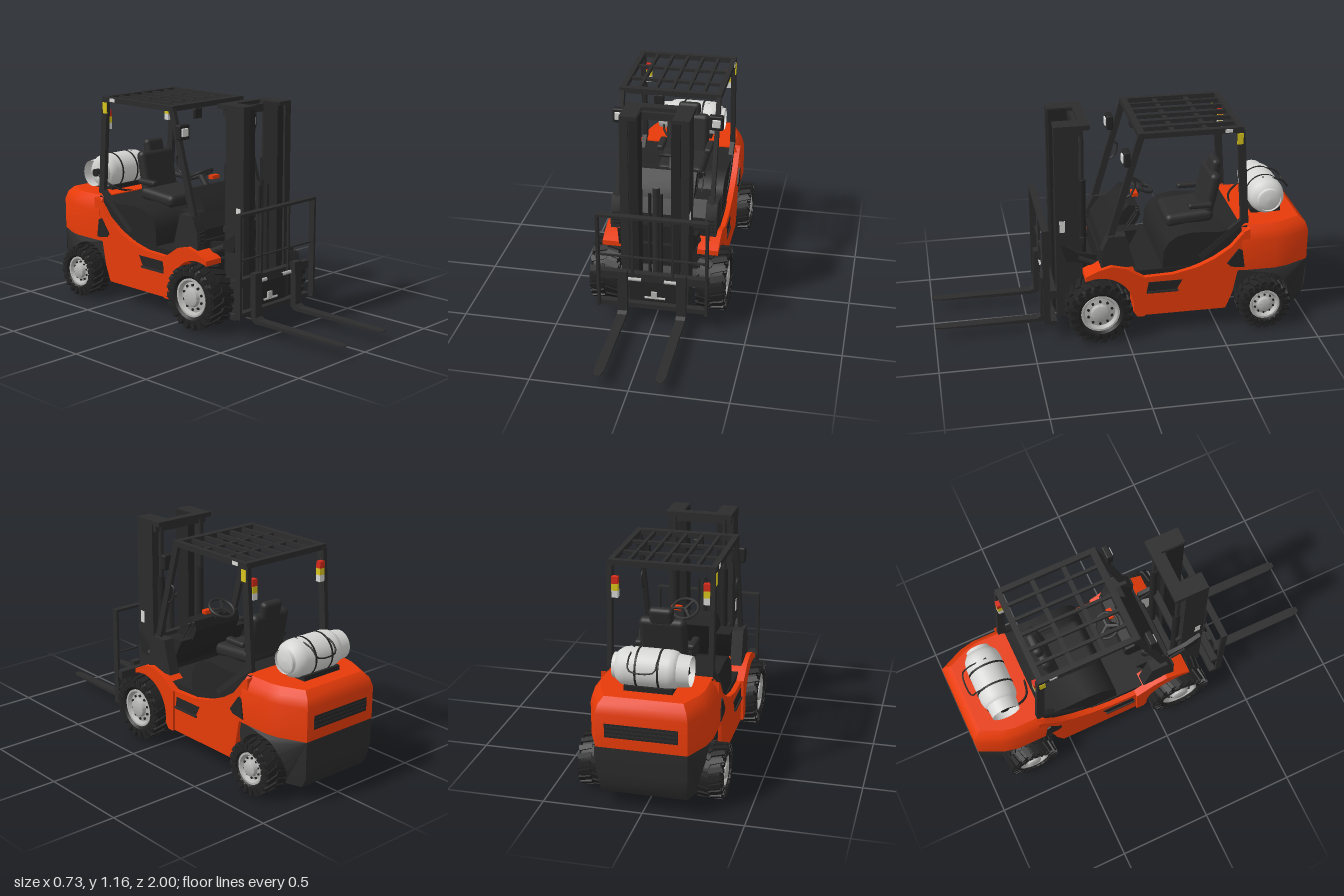
import * as THREE from 'three';
import { mergeGeometries, toCreasedNormals } from 'three/addons/utils/BufferGeometryUtils.js';
import { RoundedBoxGeometry } from 'three/addons/geometries/RoundedBoxGeometry.js';

const mat = (name, color, side = THREE.FrontSide) => {
  const m = new THREE.MeshStandardMaterial({ color, side });
  m.name = name;
  return m;
};

export function createModel() {
  const root = new THREE.Group();
  root.name = 'forklift';
  const orange = mat('orange paint', 0xe83b09), black = mat('black frame', 0x2c2c2c);
  const dark = mat('dark trim', 0x252525), rubber = mat('tyre rubber', 0x222222);
  const silver = mat('wheel silver', 0xb6b6b4), white = mat('tank white', 0xd6d6d4, THREE.DoubleSide);
  const yellow = mat('lamp yellow', 0xd8c41c), red = mat('lamp red', 0xd42a1a);
  const V = (x, y, z) => new THREE.Vector3(x, y, z);

  const add = (name, geo, m, parent = root) => {
    const mesh = new THREE.Mesh(geo, m);
    mesh.name = name;
    parent.add(mesh);
    return mesh;
  };
  // box from its minimum and maximum corners
  const box = (name, m, x0, x1, y0, y1, z0, z1) => {
    const b = add(name, new THREE.BoxGeometry(x1 - x0, y1 - y0, z1 - z0), m);
    b.position.set((x0 + x1) / 2, (y0 + y1) / 2, (z0 + z1) / 2);
  };
  const soft = (name, m, w, h, d, r, x, y, z, tilt = 0) => {
    const b = add(name, new RoundedBoxGeometry(w, h, d, 3, r), m);
    b.position.set(x, y, z);
    b.rotation.x = tilt;
  };
  // straight square beam between two points
  const beam = (name, m, a, b, w, h) => {
    const mesh = add(name, new THREE.BoxGeometry(w, h, a.distanceTo(b)), m);
    mesh.position.copy(a).lerp(b, 0.5);
    mesh.lookAt(b);
  };
  const rod = (name, m, a, b, r) => add(name, new THREE.TubeGeometry(new THREE.LineCurve3(a, b), 1, r, 12), m);
  const pipe = (name, m, pts, r) => add(name, new THREE.TubeGeometry(new THREE.CatmullRomCurve3(pts), 24, r, 8), m);
  const poly = pts => new THREE.Shape(pts.map(p => new THREE.Vector2(...p)));
  // side profile in (z, y), extruded from x0 to x1
  const slab = (name, m, shape, x0, x1) => {
    const g = new THREE.ExtrudeGeometry(shape, { depth: x1 - x0, bevelEnabled: false, curveSegments: 20 });
    g.rotateY(-Math.PI / 2).translate(x1, 0, 0);
    return add(name, toCreasedNormals(g, 0.5), m);
  };
  const sided = (s, a, b) => (s > 0 ? [a, b] : [-b, -a]);

  // wheels: tyre with lugs, dished rim, rim holes
  const wheel = (name, s, x, y, z, R, rim, w) => {
    const g = new THREE.Group();
    g.name = name;
    g.position.set(s * x, y, z);
    g.rotation.z = -s * Math.PI / 2;
    root.add(g);
    const lathe = pts => toCreasedNormals(new THREE.LatheGeometry(pts.map(p => new THREE.Vector2(...p)), 40), 0.6);
    const T = R - 0.01;
    add('tyre', lathe([[rim, -w * 0.8], [rim + 0.015, -w], [T - 0.025, -w], [T, -w * 0.8], [T, w * 0.8],
      [T - 0.025, w], [rim + 0.015, w], [rim, w * 0.8]]), rubber, g);
    const lugs = [];
    for (let i = 0; i < 40; i++) {
      const k = i % 2 ? 1 : -1;
      const lug = new THREE.BoxGeometry(0.02, w * 1.02, R * 0.17);
      lug.rotateX(k * 0.3).translate(R - 0.0115, k * w * 0.48, 0).rotateY(i * Math.PI / 20);
      const shoulder = new THREE.BoxGeometry(0.035, 0.012, R * 0.15);
      shoulder.translate(R - 0.032, k * (w - 0.003), 0).rotateY(i * Math.PI / 20);
      lugs.push(lug, shoulder);
    }
    add('treadLugs', mergeGeometries(lugs), rubber, g);
    const h = w * 0.88;
    add('rim', lathe([[0, -h], [rim, -h], [rim, h], [rim - 0.01, h], [rim - 0.022, h - 0.02], [rim * 0.5, h - 0.014],
      [rim * 0.45, h + 0.005], [rim * 0.35, h + 0.01], [0, h + 0.01]]), silver, g);
    for (let i = 0; i < 10; i++) {
      const a = i * Math.PI / 5;
      const hole = add('rimHole', new THREE.CylinderGeometry(rim * 0.07, rim * 0.07, 0.008, 8), dark, g);
      hole.position.set(Math.cos(a) * rim * 0.64, h - 0.014, Math.sin(a) * rim * 0.64);
    }
  };

  for (const s of [1, -1]) {
    wheel('frontWheel', s, 0.284, 0.172, 0.145, 0.172, 0.102, 0.077);
    wheel('rearWheel', s, 0.295, 0.14, -0.742, 0.14, 0.082, 0.066);

    // front fender with wheel arch
    const f = poly([[0.215, 0.37], [0.15, 0.4], [0.08, 0.42], [0, 0.4], [-0.05, 0.365], [-0.1, 0.335],
      [-0.1, 0.11], [-0.06, 0.11]]);
    f.absarc(0.145, 0.172, 0.185, 3.3, 1.18, true);
    slab('frontFender', orange, f, ...sided(s, 0.2, 0.31));

    // sweeping side panel
    slab('sidePanel', orange, poly([[-0.09, 0.11], [-0.54, 0.11], [-0.575, 0.2], [-0.6, 0.33], [-0.66, 0.33], [-0.66, 0.57],
      [-0.63, 0.555], [-0.56, 0.47], [-0.47, 0.41], [-0.38, 0.37], [-0.25, 0.34], [-0.09, 0.335]]), ...sided(s, 0.265, 0.297));
    slab('stepRecess', dark, poly([[-0.12, 0.305], [-0.11, 0.25], [-0.27, 0.25], [-0.3, 0.305]]), ...sided(s, 0.292, 0.3));
    slab('sideVent', dark, poly([[-0.54, 0.38], [-0.6, 0.46], [-0.62, 0.45], [-0.635, 0.35], [-0.56, 0.36]]), ...sided(s, 0.297, 0.305));
    box('stepTread', black, ...sided(s, 0.24, 0.307), 0.242, 0.252, -0.28, -0.11);

    // cowl block beside the dashboard
    slab('cowlBlock', black, poly([[0.13, 0.4], [0.125, 0.5], [0.09, 0.58], [0, 0.58], [-0.05, 0.4]]), ...sided(s, 0.225, 0.285));
    for (let i = 0; i < 4; i++) box('cowlLouvre', dark, ...sided(s, 0.235, 0.275), 0.43 + i * 0.02, 0.44 + i * 0.02, 0.12, 0.134);

    // overhead guard posts and rails
    const x = s * 0.255;
    beam('frontPost', black, V(x, 0.45, 0.11), V(x, 1.115, -0.08), 0.022, 0.035);
    beam('rearPost', black, V(x, 1.115, -0.595), V(x, 0.59, -0.635), 0.025, 0.04);
    beam('rearPostFoot', black, V(x, 0.61, -0.635), V(x, 0.41, -0.4), 0.025, 0.03);
    beam('roofRail', black, V(x, 1.118, -0.065), V(x, 1.118, -0.61), 0.028, 0.028);
    pipe('grabHandle', black, [V(x, 0.78, 0.01), V(x, 0.8, -0.03), V(x, 0.87, -0.05), V(x, 0.89, -0.015)], 0.006);

    // work lamps, stacked tail lamps and pale marker plates
    soft('lampHousing', dark, 0.075, 0.08, 0.035, 0.008, s * 0.255, 1.005, -0.005);
    soft('lampLens', white, 0.044, 0.044, 0.012, 0.005, s * 0.258, 1.005, 0.014);
    [[red, 1.035], [yellow, 1], [white, 0.965]].forEach(([m, y]) =>
      box('tailLamp', m, ...sided(s, 0.212, 0.244), y - 0.0175, y + 0.0175, -0.628, -0.6));
    box('markerSticker', yellow, ...sided(s, 0.266, 0.27), 1.04, 1.1, -0.607, -0.575);
    box('roofPlate', white, ...sided(s, 0.268, 0.271), 1.108, 1.127, -0.55, -0.51);
    box('mastPlate', white, ...sided(s, 0.177, 0.18), 0.575, 0.64, 0.3, 0.33);

    // mast channels, lift cylinders, mast brackets
    box('outerMastWeb', black, ...sided(s, 0.165, 0.178), 0.08, 1.16, 0.225, 0.35);
    box('outerMastFlange', black, ...sided(s, 0.135, 0.178), 0.08, 1.16, 0.337, 0.35);
    box('outerMastRearFlange', black, ...sided(s, 0.135, 0.178), 0.08, 1.16, 0.225, 0.24);
    box('innerMastRail', dark, ...sided(s, 0.085, 0.13), 0.09, 1.155, 0.245, 0.342);
    box('mastTopPlate', black, ...sided(s, 0.09, 0.178), 1.14, 1.16, 0.2, 0.35);
    rod('liftCylinder', dark, V(s * 0.135, 0.12, 0.205), V(s * 0.135, 0.85, 0.205), 0.02);
    rod('liftRod', black, V(s * 0.135, 0.85, 0.205), V(s * 0.135, 1.15, 0.205), 0.012);
    slab('mastBracket', dark, poly([[0.33, 0.52], [0.24, 0.46], [0.14, 0.44], [0.14, 0.4], [0.3, 0.41]]), ...sided(s, 0.178, 0.2));
    rod('tiltCylinder', black, V(s * 0.19, 0.3, -0.05), V(s * 0.19, 0.43, 0.24), 0.02);
    rod('liftChain', dark, V(s * 0.03, 0.12, 0.325), V(s * 0.03, 0.74, 0.325), 0.009);
    rod('sideShiftRod', silver, V(s * 0.06, 0.265, 0.402), V(s * 0.13, 0.265, 0.402), 0.01);

    // forks with narrowed tips
    const fork = slab('fork', black, poly([[0.4, 0.32], [0.435, 0.32], [0.44, 0.09], [0.46, 0.078], [0.96, 0.072], [1, 0.071],
      [1, 0.066], [0.96, 0.064], [0.6, 0.057], [0.43, 0.057], [0.408, 0.075]]), ...sided(s, 0.13, 0.18));
    const p = fork.geometry.attributes.position;
    for (let i = 0; i < p.count; i++) if (p.getZ(i) > 0.99) p.setX(i, s * 0.155 + (p.getX(i) - s * 0.155) * 0.55);
    // load backrest uprights
    box('backrestPost', black, ...sided(s, 0.278, 0.292), 0.1, 0.64, 0.4, 0.435);
    box('backrestBar', black, ...sided(s, 0.1, 0.112), 0.28, 0.64, 0.4, 0.412);
  }

  // carriage and mast ties
  box('backrestTop', black, -0.292, 0.292, 0.632, 0.645, 0.4, 0.435);
  box('backrestMiddle', black, -0.285, 0.285, 0.395, 0.403, 0.4, 0.412);
  box('carriageUpper', black, -0.29, 0.29, 0.255, 0.298, 0.365, 0.402);
  box('carriageLower', black, -0.29, 0.29, 0.092, 0.118, 0.365, 0.402);
  box('carriagePlate', dark, -0.13, 0.13, 0.1, 0.24, 0.352, 0.37);
  box('carriageClaw', silver, -0.015, 0.015, 0.14, 0.18, 0.37, 0.38);
  rod('carriagePin', silver, V(-0.05, 0.142, 0.372), V(0.06, 0.142, 0.372), 0.006);
  rod('centreCylinder', black, V(0, 0.1, 0.3), V(0, 0.76, 0.3), 0.02);
  [[0.1, 0.14], [0.5, 0.53], [1.1, 1.14]].forEach(([a, b]) => box('mastTie', black, -0.17, 0.17, a, b, 0.2, 0.235));
  box('mastTopBeam', black, -0.178, 0.178, 1.135, 1.16, 0.165, 0.215);

  // chassis underside and axles
  box('chassis', dark, -0.2, 0.2, 0.13, 0.34, -0.56, 0.16);
  box('bellyFrame', black, -0.265, 0.265, 0.115, 0.15, -0.52, -0.08);
  box('rearChassis', dark, -0.17, 0.17, 0.18, 0.34, -0.9, -0.55);
  rod('frontAxle', black, V(-0.26, 0.172, 0.145), V(0.26, 0.172, 0.145), 0.05);
  rod('rearAxle', black, V(-0.26, 0.14, -0.742), V(0.26, 0.14, -0.742), 0.035);
  box('floorPlate', dark, -0.27, 0.27, 0.33, 0.365, -0.4, 0.1);
  box('frontBulkhead', dark, -0.235, 0.235, 0.3, 0.45, 0.08, 0.13);

  // rear counterweight: painted upper part lofted from plan outlines
  const half = [[0.3, -0.62], [0.3, -0.8], [0.285, -0.87], [0.225, -1]];
  const plan = [...half, ...half.map(([x, z]) => [-x, z]).reverse()], n = plan.length;
  const levels = [[0.33, 1, 1], [0.5, 1, 1], [0.545, 0.95, 0.96], [0.575, 0.86, 0.87]], pos = [], idx = [];
  levels.forEach(([y, sx, sz]) => plan.forEach(([x, z]) => pos.push(x * sx, y, -0.62 + (z + 0.62) * sz)));
  for (let l = 0; l < levels.length - 1; l++) for (let i = 0; i < n; i++) {
    const a = l * n + i, b = l * n + (i + 1) % n;
    idx.push(a, b, b + n, a, b + n, a + n);
  }
  const top = (levels.length - 1) * n;
  for (let i = 1; i < n - 1; i++) idx.push(top, top + i, top + i + 1, 0, i + 1, i);
  const cw = new THREE.BufferGeometry();
  cw.setAttribute('position', new THREE.Float32BufferAttribute(pos, 3));
  cw.setIndex(idx);
  add('counterweight', toCreasedNormals(cw, 0.6), orange);
  box('rearVent', dark, -0.18, 0.18, 0.385, 0.455, -1.002, -0.995);
  for (let i = 0; i < 3; i++) box('rearVentSlat', black, -0.175, 0.175, 0.397 + i * 0.02, 0.404 + i * 0.02, -1.004, -0.998);

  // lower counterweight with wheel arch, narrowed towards the back and the bottom
  const low = poly([[-0.58, 0.33], [-1, 0.33], [-0.998, 0.2], [-0.99, 0.13], [-0.965, 0.08], [-0.88, 0.08]]);
  low.absarc(-0.742, 0.14, 0.155, Math.PI, 0.3, true);
  const lowMesh = slab('lowerCounterweight', black, low, -0.28, 0.28);
  const lp = lowMesh.geometry.attributes.position;
  for (let i = 0; i < lp.count; i++) {
    const back = Math.max(0, (-0.86 - lp.getZ(i)) / 0.14), down = Math.max(0, (0.2 - lp.getY(i)) / 0.12);
    lp.setX(i, lp.getX(i) * (1 - 0.2 * back) * (1 - 0.1 * down));
  }
  lowMesh.geometry = toCreasedNormals(lowMesh.geometry, 0.4);

  // engine hood and seat
  slab('engineHood', dark, poly([[-0.2, 0.36], [-0.205, 0.46], [-0.23, 0.51], [-0.28, 0.545], [-0.36, 0.56], [-0.5, 0.55],
    [-0.65, 0.575], [-0.65, 0.36]]), -0.265, 0.265);
  soft('seatCushion', black, 0.26, 0.07, 0.26, 0.03, 0.02, 0.58, -0.37, 0.08);
  soft('seatBack', black, 0.24, 0.24, 0.06, 0.028, 0.02, 0.7, -0.49, -0.2);
  soft('headrest', black, 0.125, 0.095, 0.05, 0.022, 0.023, 0.83, -0.52, -0.2);
  for (const x of [-0.115, 0.155]) soft('armrest', black, 0.04, 0.03, 0.13, 0.013, x, 0.66, -0.42);

  // dashboard, steering, levers
  slab('dashboard', dark, poly([[0.12, 0.42], [0.11, 0.5], [0.05, 0.58], [-0.07, 0.58], [-0.03, 0.5], [0.02, 0.42]]), -0.225, 0.225);
  slab('instrumentPod', dark, poly([[0.06, 0.57], [0.03, 0.62], [-0.04, 0.69], [-0.09, 0.68], [-0.1, 0.63], [-0.07, 0.57]]), -0.15, 0.15);
  rod('steeringColumn', black, V(0, 0.6, -0.03), V(0, 0.725, -0.125), 0.018);
  const steer = add('steeringWheel', new THREE.TorusGeometry(0.068, 0.008, 8, 32), black);
  steer.position.set(0, 0.73, -0.13);
  steer.rotation.x = -Math.PI / 2 - 0.5;
  for (let i = 0; i < 3; i++) {
    const a = i * Math.PI * 2 / 3;
    const spoke = add('steeringSpoke', new THREE.BoxGeometry(0.066, 0.012, 0.008), black, steer);
    spoke.position.set(Math.cos(a) * 0.033, Math.sin(a) * 0.033, 0);
    spoke.rotation.z = a;
  }
  box('columnCollar', orange, 0.03, 0.085, 0.705, 0.725, -0.1, -0.07);
  for (const x of [0.12, 0.15, 0.18]) {
    rod('controlLever', black, V(x, 0.58, -0.03), V(x, 0.66, -0.08), 0.004);
    soft('leverKnob', dark, 0.018, 0.025, 0.018, 0.007, x, 0.665, -0.082);
  }

  // overhead guard roof
  box('roofFront', black, -0.268, 0.268, 1.105, 1.133, -0.1, -0.065);
  box('roofRear', black, -0.268, 0.268, 1.105, 1.133, -0.61, -0.58);
  for (let i = -2; i <= 2; i++) box('roofBar', black, i * 0.085 - 0.008, i * 0.085 + 0.008, 1.108, 1.13, -0.59, -0.09);
  for (const z of [-0.25, -0.42]) box('roofCrossBar', black, -0.25, 0.25, 1.106, 1.122, z - 0.012, z + 0.012);
  soft('mirror', dark, 0.055, 0.055, 0.02, 0.007, -0.062, 1.073, -0.09);

  // gas tank with valve collar on its right, strap and cradle
  const tank = add('gasTank', new THREE.LatheGeometry([[0, -0.152], [0.04, -0.15], [0.075, -0.14], [0.09, -0.12], [0.096, -0.095], [0.096, 0.11],
    [0.09, 0.14], [0.072, 0.165], [0.04, 0.177], [0, 0.18]].map(p => new THREE.Vector2(...p)), 40), white);
  tank.position.set(0, 0.67, -0.79);
  tank.rotation.z = -Math.PI / 2;
  const collar = add('tankCollar', new THREE.CylinderGeometry(0.08, 0.074, 0.065, 28, 1, true), white, tank);
  collar.position.y = -0.163;
  const foot = add('tankFootRing', new THREE.CylinderGeometry(0.062, 0.066, 0.03, 28, 1, true), white, tank);
  foot.position.y = 0.17;
  const valve = add('tankValve', new THREE.CylinderGeometry(0.022, 0.022, 0.03, 12), dark, tank);
  valve.position.y = -0.165;
  for (const y of [-0.05, 0.06]) {
    const strap = add('tankStrap', new THREE.CylinderGeometry(0.098, 0.098, 0.01, 36), dark, tank);
    strap.position.y = y;
  }
  box('tankCradle', dark, -0.12, 0.12, 0.57, 0.6, -0.87, -0.71);
  pipe('tankBracket', dark, [V(-0.05, 0.765, -0.77), V(-0.05, 0.74, -0.88), V(-0.04, 0.7, -0.915), V(0.08, 0.7, -0.915),
    V(0.09, 0.74, -0.88), V(0.09, 0.765, -0.77)], 0.004);
  pipe('gasHose', dark, [V(-0.17, 0.67, -0.79), V(-0.16, 0.62, -0.7), V(-0.12, 0.59, -0.65), V(-0.04, 0.57, -0.63)], 0.006);
  return root;
}
